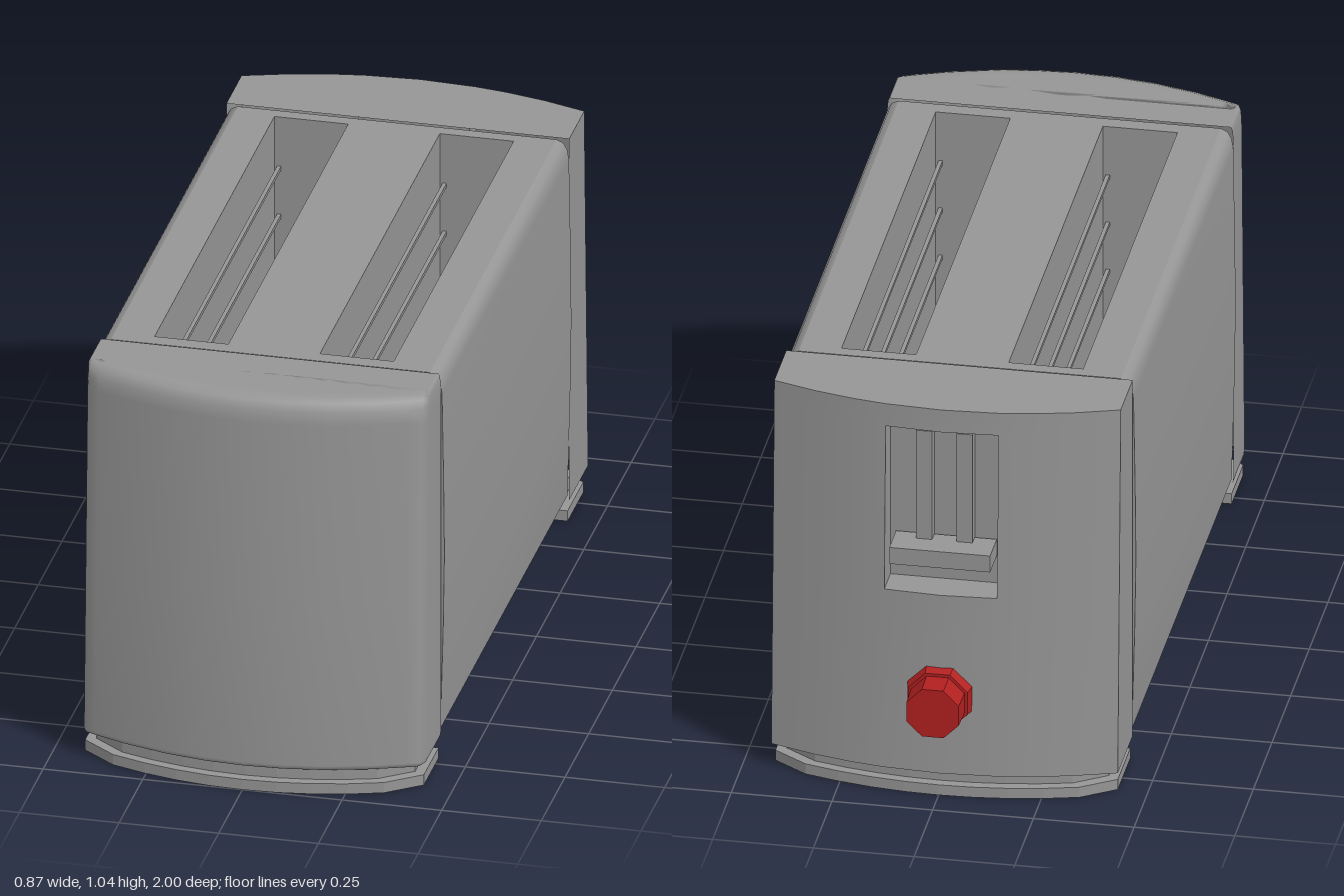
import * as THREE from 'three';
import { toCreasedNormals } from 'three/addons/utils/BufferGeometryUtils.js';

const grey = new THREE.MeshStandardMaterial({ color: 0x969696, side: THREE.DoubleSide });
grey.name = 'grey casing';
const red = new THREE.MeshStandardMaterial({ color: 0xb22020 });
red.name = 'red knob';

const W = 0.43, BASE = 0.06, TOP = 1.04;
const WIN = { x: 0.14, y0: 0.54, y1: 0.98, floor: -0.81 };
const FRONT = { s: 1, inner: 0.712, side: 0.9, mid: 1.0 };
const BACK = { s: -1, inner: 0.64, side: 0.84, mid: 0.92 };

// Bowed, slightly tapering end surface (distance from the centre along z)
const bow = (e, x, y) =>
  e.side + (e.mid - e.side) * (1 - (x / W) ** 2) - 0.04 * (y - BASE) / (TOP - BASE);

function add(parent, name, geometry, material = grey, pos = [0, 0, 0]) {
  const mesh = new THREE.Mesh(geometry, material);
  mesh.name = name;
  mesh.position.set(...pos);
  parent.add(mesh);
  return mesh;
}

function surface(points, index) {
  const g = new THREE.BufferGeometry();
  g.setAttribute('position', new THREE.Float32BufferAttribute(points.flat(), 3));
  g.setIndex(index);
  g.computeVertexNormals();
  return g;
}

// Flat-shaded surface from separate quads
function quads(list) {
  const index = [];
  list.forEach((_, i) => index.push(4 * i, 4 * i + 1, 4 * i + 2, 4 * i, 4 * i + 2, 4 * i + 3));
  return surface(list.flat(), index);
}

// End cap: stacked outlines; each row is [height, inset]
function endCap(e, halfXs, rows, hasWindow) {
  const xs = [...halfXs, 0, ...halfXs.map(x => -x).reverse()];
  const points = [], index = [], n = xs.length + 4;
  const quad = (a, b, c, d) =>
    e.s < 0 ? index.push(a, b, c, a, c, d) : index.push(a, c, b, a, d, c);
  for (const [y, inset] of rows) {
    const shrink = 1 - inset * 0.4;
    const sideZ = bow(e, W, y) - 0.035;
    const loop = [[W, e.inner], [W, sideZ], ...xs.map(x => [x, bow(e, x, y) - inset]),
      [-W, sideZ], [-W, e.inner]];
    loop.forEach(([x, z]) => points.push([x * shrink, y, e.s * z]));
  }
  for (let j = 0; j < rows.length - 1; j++) {
    for (let i = 0; i < n - 1; i++) {
      const a = j * n + i;
      const midX = (points[a][0] + points[a + 1][0]) / 2;
      const midY = (rows[j][0] + rows[j + 1][0]) / 2;
      if (hasWindow && Math.abs(midX) < WIN.x && midY > WIN.y0 && midY < WIN.y1) continue;
      quad(a, a + 1, a + n + 1, a + n);
    }
  }
  // Top lid
  const t = (rows.length - 1) * n;
  for (let i = 0; i < Math.floor(n / 2); i++) quad(t + i, t + i + 1, t + n - 2 - i, t + n - 1 - i);
  return surface(points, index);
}

// Horizontal slab following the end outline
function footSlab(e, half, inset, y0, y1) {
  const shape = new THREE.Shape();
  shape.moveTo(-half, e.s * (e.inner + 0.005 + inset * 0.3));
  for (let i = 0; i <= 10; i++) {
    const x = half * (i / 5 - 1);
    const corner = i % 10 === 0 ? 0.03 : 0;
    shape.lineTo(x, e.s * (bow(e, x, BASE) - inset - corner));
  }
  shape.lineTo(half, e.s * (e.inner + 0.005 + inset * 0.3));
  const g = new THREE.ExtrudeGeometry(shape, { depth: y1 - y0, bevelEnabled: false });
  return g.rotateX(Math.PI / 2).translate(0, y1, 0);
}

function rect(Type, x0, x1, z0, z1) {
  return new Type([[x0, z0], [x1, z0], [x1, z1], [x0, z1]].map(p => new THREE.Vector2(...p)));
}

function buildBody(parent) {
  const z0 = -0.634, z1 = 0.706;
  const half = [[0.415, BASE], [0.427, 0.075], [0.434, 0.35], [0.437, 0.55], [0.435, 0.75],
    [0.431, 0.985], [0.427, 1.012], [0.417, 1.03], [0.4, 1.038]];
  // Bowed side walls
  for (const s of [1, -1]) {
    const pts = [], index = [];
    half.forEach(([x, y]) => pts.push([s * x, y, z1], [s * x, y, z0]));
    for (let i = 0; i < half.length - 1; i++) {
      const a = 2 * i;
      if (s > 0) index.push(a, a + 1, a + 3, a, a + 3, a + 2);
      else index.push(a, a + 3, a + 1, a, a + 2, a + 3);
    }
    add(parent, s > 0 ? 'leftWall' : 'rightWall', surface(pts, index));
  }
  // Closed ends and underside
  const outline = [...half, ...half.map(([x, y]) => [-x, y]).reverse()];
  const end = new THREE.Shape(outline.map(p => new THREE.Vector2(...p)));
  add(parent, 'frontBulkhead', new THREE.ShapeGeometry(end), grey, [0, 0, z1]);
  add(parent, 'backBulkhead', new THREE.ShapeGeometry(end).rotateY(Math.PI), grey, [0, 0, z0]);
  add(parent, 'underside', quads([[[-0.415, BASE, z0], [0.415, BASE, z0],
    [0.415, BASE, z1], [-0.415, BASE, z1]]]));
  // Top plate with two slots (shape y becomes -z)
  const plate = rect(THREE.Shape, -0.4, 0.4, -z1, -z0);
  const sz0 = -0.6, sz1 = 0.665, floor = 0.2;
  for (const s of [1, -1]) {
    const [a, b] = s > 0 ? [0.115, 0.3] : [-0.3, -0.115];
    plate.holes.push(rect(THREE.Path, a, b, -sz1, -sz0));
    const y = 1.038;
    add(parent, 'slotLining', quads([
      [[a, floor, sz1], [a, floor, sz0], [a, y, sz0], [a, y, sz1]],
      [[b, floor, sz0], [b, floor, sz1], [b, y, sz1], [b, y, sz0]],
      [[a, floor, sz0], [b, floor, sz0], [b, y, sz0], [a, y, sz0]],
      [[b, floor, sz1], [a, floor, sz1], [a, y, sz1], [b, y, sz1]],
      [[a, floor, sz1], [b, floor, sz1], [b, floor, sz0], [a, floor, sz0]],
    ]));
    // Guide wires along both slot walls
    for (const x of [a + 0.012, b - 0.012]) {
      for (let k = 0; k < 5; k++) {
        add(parent, 'guideWire', new THREE.BoxGeometry(0.01, 0.01, sz1 - sz0), grey,
          [x, 0.9 - k * 0.13, (sz0 + sz1) / 2]);
      }
    }
  }
  add(parent, 'topPlate', new THREE.ShapeGeometry(plate).rotateX(-Math.PI / 2), grey, [0, 1.038, 0]);
}

function buildControls(parent) {
  // Recessed window behind the lever
  const { x, y0, y1, floor } = WIN;
  const edge = [[x, y0], [0, y0], [-x, y0], [-x, y1], [0, y1], [x, y1]];
  const list = edge.map(([px, py], i) => {
    const [qx, qy] = edge[(i + 1) % edge.length];
    return [[px, py, floor], [px, py, -bow(BACK, px, py)], [qx, qy, -bow(BACK, qx, qy)], [qx, qy, floor]];
  });
  list.push([[x, y0, floor], [-x, y0, floor], [-x, y1, floor], [x, y1, floor]]);
  add(parent, 'leverRecess', quads(list));
  for (const s of [1, -1]) {
    add(parent, 'leverRail', new THREE.BoxGeometry(0.04, 0.32, 0.035), grey, [s * 0.05, 0.8, floor - 0.0175]);
  }
  add(parent, 'lever', new THREE.BoxGeometry(0.25, 0.045, 0.09), grey, [0, 0.64, -0.86]);

  // Browning knob
  const disc = (r0, r1, len) =>
    toCreasedNormals(new THREE.CylinderGeometry(r0, r1, len, 8).rotateY(Math.PI / 8).rotateX(-Math.PI / 2), 0.5);
  add(parent, 'knobCollar', disc(0.08, 0.088, 0.03), red, [0, 0.265, -0.917]);
  add(parent, 'knob', disc(0.07, 0.072, 0.08), red, [0, 0.265, -0.96]);
}

export function createModel() {
  const model = new THREE.Group();
  model.name = 'toaster';
  const body = new THREE.Group();
  body.name = 'body';
  model.add(body);
  buildBody(body);

  // Softly rounded front cap and crisp back cap
  const softRows = [[BASE, 0.012], [0.075, 0], [0.5, 0], [0.98, 0], [1.012, 0.005], [1.032, 0.016],
    [TOP, 0.035], [TOP, 0.06]];
  add(model, 'frontCap', endCap(FRONT, [0.42, 0.39, 0.31, 0.2, 0.1], softRows, false));
  const crispRows = [[BASE, 0], [WIN.y0, 0], [WIN.y1, 0], [TOP, 0]];
  add(model, 'backCap', toCreasedNormals(endCap(BACK, [W, 0.32, 0.22, WIN.x], crispRows, true), 0.15));

  for (const [name, e] of [['front', FRONT], ['back', BACK]]) {
    add(model, name + 'Foot', footSlab(e, 0.425, 0, 0, 0.028));
    add(model, name + 'FootNeck', footSlab(e, 0.4, 0.025, 0.028, 0.062));
  }

  const controls = new THREE.Group();
  controls.name = 'controls';
  model.add(controls);
  buildControls(controls);
  return model;
}
